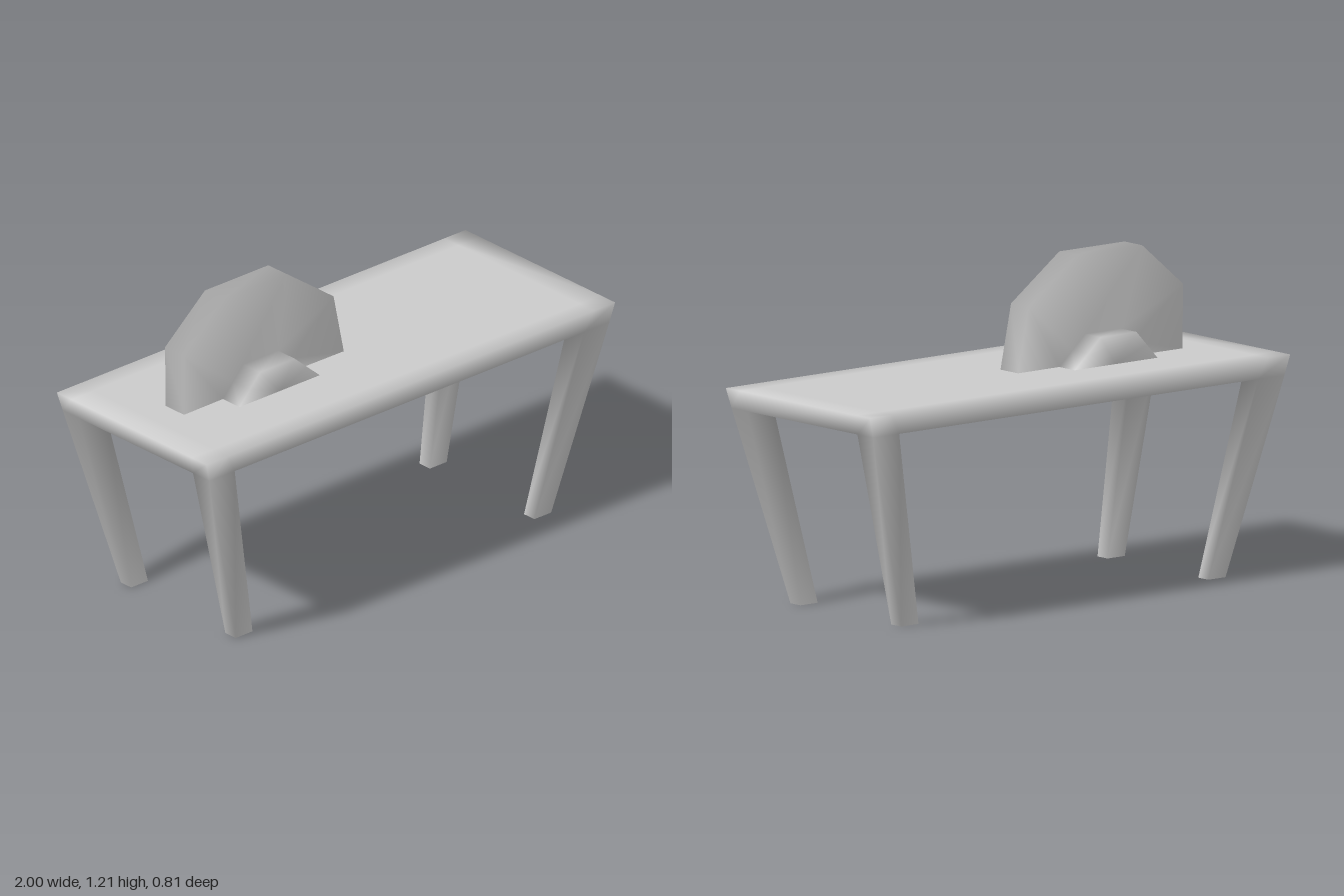
import * as THREE from 'three';
import { mergeVertices } from 'three/addons/utils/BufferGeometryUtils.js';

// Collects quads and triangles, then welds them for smooth normals
function surface() {
  const pos = [];
  const tri = (a, b, c) => pos.push(...a, ...b, ...c);
  return {
    tri,
    quad(a, b, c, d) { tri(a, b, c); tri(a, c, d); },
    // Walls between two outlines with matching points
    band(lower, upper, closed) {
      const n = lower.length;
      for (let i = 0; i < (closed ? n : n - 1); i++) {
        const j = (i + 1) % n;
        this.quad(lower[i], lower[j], upper[j], upper[i]);
      }
    },
    mesh(name) {
      let g = new THREE.BufferGeometry();
      g.setAttribute('position', new THREE.Float32BufferAttribute(pos, 3));
      g = mergeVertices(g, 1e-4);
      g.computeVertexNormals();
      const m = new THREE.Mesh(g, new THREE.MeshStandardMaterial({ color: 0xcccccc }));
      m.name = name;
      return m;
    },
  };
}

// 4 x 4 grid of points at one height: outer edge and inset line
const grid = (y, xo, xi, zo, zi) =>
  [-xo, -xi, xi, xo].map(x => [-zo, -zi, zi, zo].map(z => [x, y, z]));
const cell = (g, i, j) => [g[i][j], g[i][j + 1], g[i + 1][j + 1], g[i + 1][j]];
const rim = g => [...g[0], g[1][3], g[2][3], ...[...g[3]].reverse(), g[2][0], g[1][0]];

function createTable() {
  const s = surface();
  const top = grid(0.807, 1, 0.895, 0.404, 0.325);
  const under = grid(0.732, 0.979, 0.855, 0.396, 0.308);
  const feet = grid(0, 0.772, 0.69, 0.31, 0.254);
  for (let i = 0; i < 3; i++) {
    for (let j = 0; j < 3; j++) {
      s.quad(...cell(top, i, j));
      if (i !== 1 && j !== 1) {
        // Splayed leg drawn down from each corner
        s.band(cell(feet, i, j), cell(under, i, j), true);
        s.quad(...cell(feet, i, j).reverse());
      } else {
        s.quad(...cell(under, i, j).reverse());
      }
    }
  }
  s.band(rim(under), rim(top), true);
  return s.mesh('table');
}

function createBlade() {
  const s = surface();
  const y0 = 0.807;
  const disc = [[-0.782, y0], [-0.785, 1.045], [-0.59, 1.21], [-0.28, 1.21], [-0.05, 1.045], [0, y0]];
  const hub = [[-0.59, y0], [-0.54, 0.861], [-0.49, 0.914], [-0.32, 0.914], [-0.26, 0.861], [-0.197, y0]];
  const at = (outline, z) => outline.map(([x, y]) => [x, y, z]);
  // Front hub, disc, back hub in order from front to back
  const rings = [at(hub, 0.13), at(hub, 0.04), at(disc, 0.042), at(disc, -0.057), at(hub, -0.055), at(hub, -0.143)];
  for (let i = 0; i < rings.length - 1; i++) s.band(rings[i], rings[i + 1], false);
  // Hub end caps
  const front = rings[0], back = rings[5];
  for (let i = 0; i < 5; i++) {
    s.tri([-0.39, y0, 0.13], front[i + 1], front[i]);
    s.tri([-0.39, y0, -0.143], back[i], back[i + 1]);
  }
  return s.mesh('sawBlade');
}

export function createModel() {
  const group = new THREE.Group();
  group.name = 'sawTable';
  group.add(createTable(), createBlade());
  return group;
}
